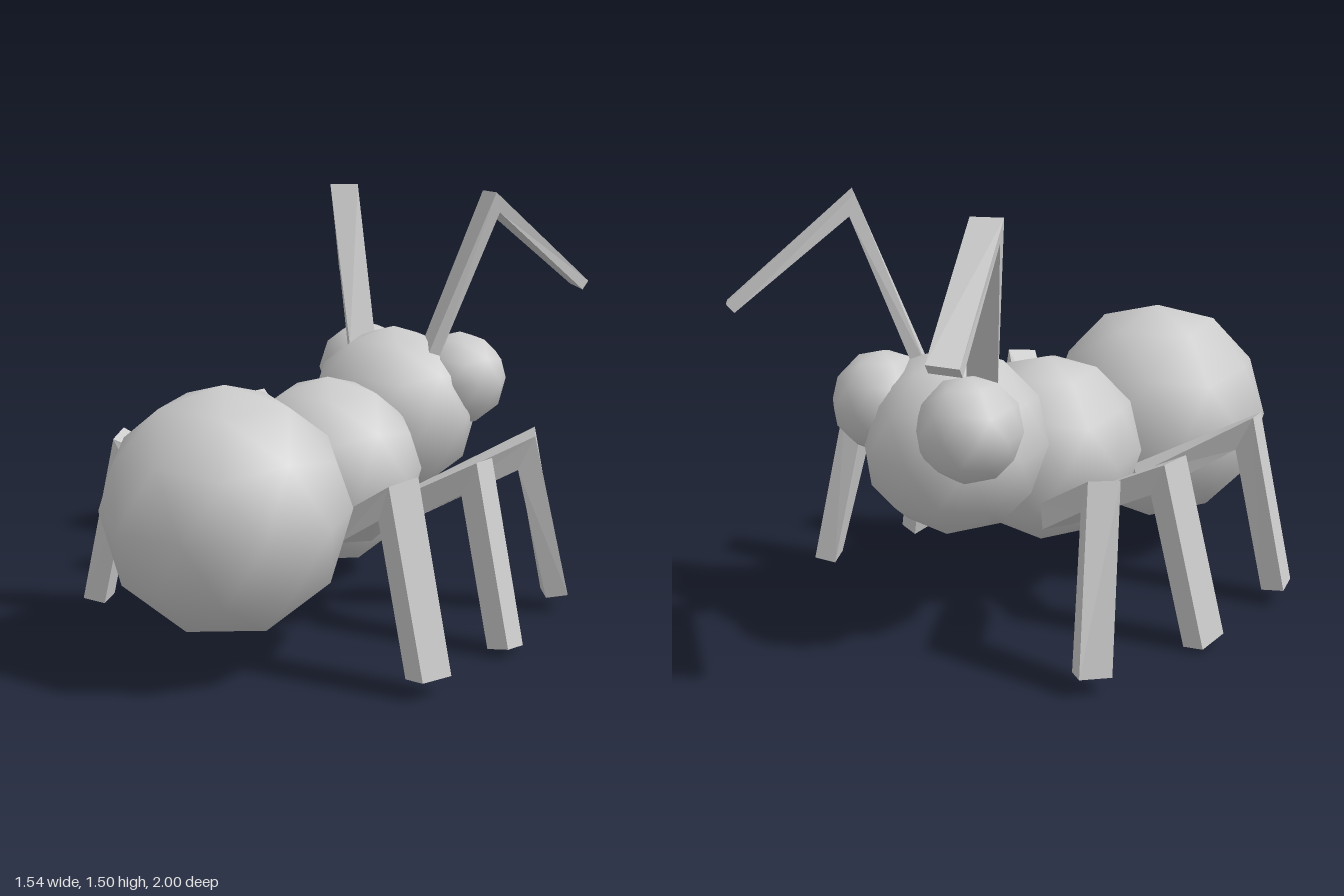
import * as THREE from 'three';

const material = new THREE.MeshStandardMaterial({ color: 0xcccccc });
const limbMaterial = new THREE.MeshStandardMaterial({ color: 0xcccccc, flatShading: true });

// Smooth-shaded low-poly ball with a vertex at the top
function ball(name, radius, x, y, z) {
  const geo = new THREE.IcosahedronGeometry(radius, 1);
  geo.rotateZ(-Math.atan(2 / (1 + Math.sqrt(5))));
  geo.rotateY(Math.PI / 2);
  const mesh = new THREE.Mesh(geo, material);
  mesh.name = name;
  mesh.position.set(x, y, z);
  return mesh;
}

// Bent bar through rectangular sections. Each section holds the middle of its
// outer edge, the half-width vector, and the offset to the inner edge.
function limb(name, sections, side) {
  const pos = [];
  const index = [];
  for (const { at, w, inner } of sections) {
    for (const [sw, si] of [[1, 0], [-1, 0], [-1, 1], [1, 1]]) {
      const p = at.map((v, i) => v + sw * w[i] + si * inner[i]);
      pos.push(p[0] * side, p[1], p[2]);
    }
  }
  const quad = (a, b, c, d) => {
    if (side > 0) index.push(a, b, c, a, c, d);
    else index.push(a, c, b, a, d, c);
  };
  const last = (sections.length - 1) * 4;
  for (let s = 0; s < last; s += 4) {
    for (let k = 0; k < 4; k++) {
      const n = (k + 1) % 4;
      quad(s + k, s + 4 + k, s + 4 + n, s + n);
    }
  }
  quad(0, 1, 2, 3);
  quad(last + 3, last + 2, last + 1, last);
  const indexed = new THREE.BufferGeometry();
  indexed.setAttribute('position', new THREE.Float32BufferAttribute(pos, 3));
  indexed.setIndex(index);
  const geo = indexed.toNonIndexed();
  geo.computeVertexNormals();
  const mesh = new THREE.Mesh(geo, limbMaterial);
  mesh.name = name;
  return mesh;
}

// Limbs of the +x side: root, joint, tip
const LIMBS = {
  hindLeg: [
    { at: [0.235, 0.45, 0.21], w: [-0.04, 0, 0.042], inner: [0.03, -0.08, 0.02] },
    { at: [0.587, 0.682, 0.455], w: [-0.022, -0.0075, 0.053], inner: [-0.052, -0.125, -0.025] },
    { at: [0.733, 0.065, 0.48], w: [-0.022, 0, 0.052], inner: [-0.078, -0.012, -0.025] },
  ],
  middleLeg: [
    { at: [0.25, 0.45, -0.03], w: [0, 0, 0.056], inner: [0.035, -0.078, 0] },
    { at: [0.615, 0.65, -0.03], w: [0, 0.003, 0.056], inner: [-0.055, -0.12, 0] },
    { at: [0.77, 0.026, 0.008], w: [0, 0.01, 0.056], inner: [-0.08, -0.016, -0.004] },
  ],
  frontLeg: [
    { at: [0.24, 0.45, -0.21], w: [0.022, 0, 0.052], inner: [0.03, -0.08, -0.02] },
    { at: [0.626, 0.68, -0.392], w: [0.025, -0.005, 0.049], inner: [-0.052, -0.125, 0.024] },
    { at: [0.708, 0.065, -0.513], w: [0.032, 0, 0.043], inner: [-0.068, -0.012, 0.04] },
  ],
  antenna: [
    { at: [0.135, 0.91, -0.445], w: [0.038, 0, 0.033], inner: [0.028, -0.015, -0.03] },
    { at: [0.318, 1.503, -0.592], w: [0.044, 0, 0.03], inner: [0.004, -0.074, -0.022] },
    { at: [0.526, 1.158, -0.97], w: [0.04, -0.005, 0.03], inner: [-0.012, -0.032, 0.022] },
  ],
};

export function createModel() {
  const model = new THREE.Group();
  model.name = 'ant';

  // Body
  model.add(ball('abdomen', 0.417, 0, 0.532, 0.6));
  model.add(ball('thorax', 0.338, 0, 0.537, 0));
  model.add(ball('head', 0.32, 0, 0.675, -0.45));

  // Eyes, legs and antennae on both sides
  for (const side of [1, -1]) {
    const label = side > 0 ? 'Left' : 'Right';
    model.add(ball('eye' + label, 0.178, 0.212 * side, 0.797, -0.58));
    for (const [name, sections] of Object.entries(LIMBS)) {
      model.add(limb(name + label, sections, side));
    }
  }
  return model;
}
